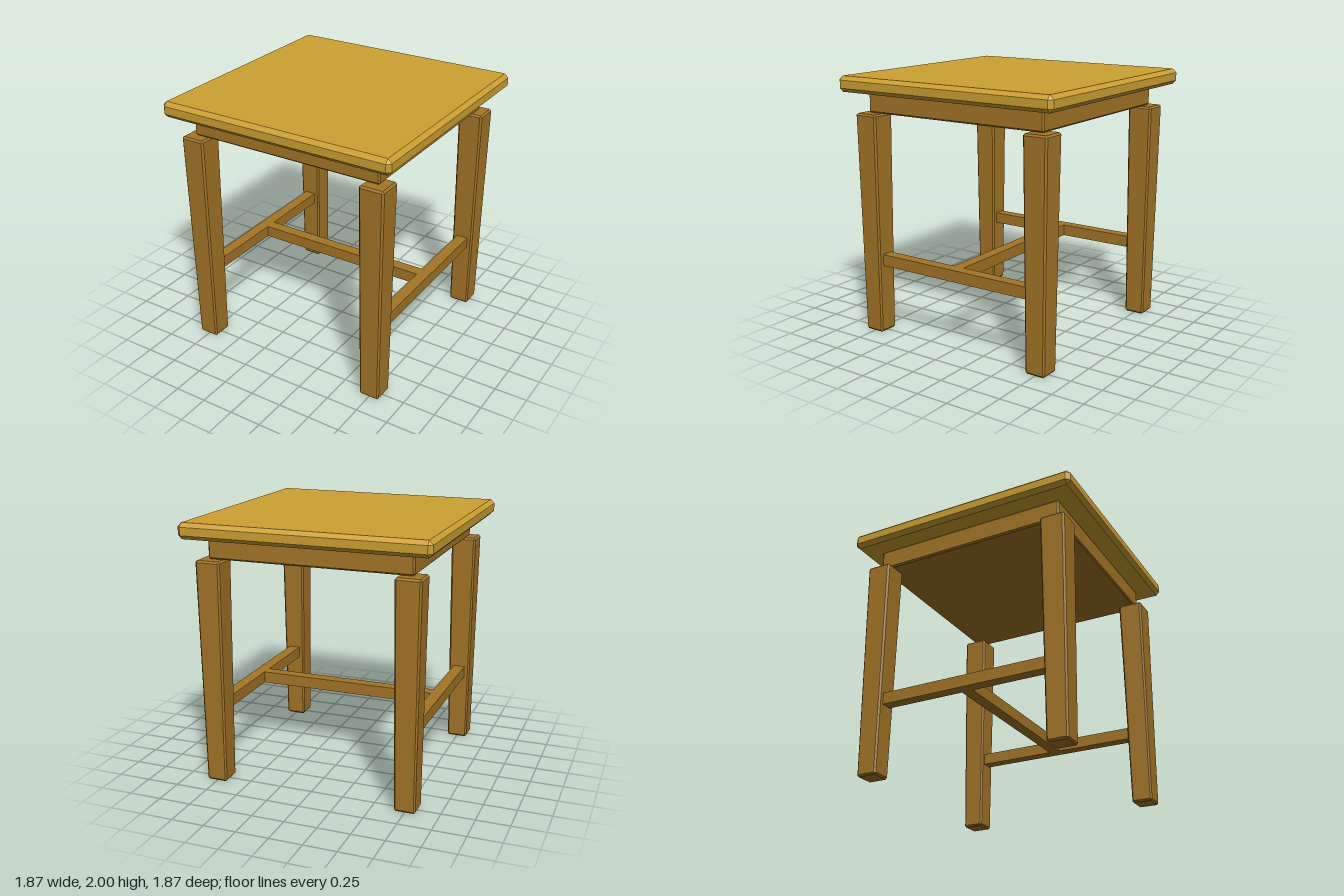
import * as THREE from 'three';
import { ConvexGeometry } from 'three/addons/geometries/ConvexGeometry.js';

// Box with every edge cut by a single chamfer; taper is bottom width / top width.
function chamferedBox(w, h, d, c, taper = 1) {
  const points = [];
  for (const keep of [0, 1, 2]) {
    const [x, y, z] = [w / 2, h / 2, d / 2].map((v, axis) => (axis === keep ? v : v - c));
    for (const sx of [-1, 1]) for (const sy of [-1, 1]) for (const sz of [-1, 1]) {
      const s = THREE.MathUtils.lerp(taper, 1, (sy * y) / h + 0.5);
      points.push(new THREE.Vector3(sx * x * s, sy * y, sz * z * s));
    }
  }
  return new ConvexGeometry(points);
}

export function createModel() {
  const group = new THREE.Group();
  group.name = 'stool';
  const lightWood = new THREE.MeshStandardMaterial({ color: 0xcda032 });
  lightWood.name = 'light wood';
  const darkWood = new THREE.MeshStandardMaterial({ color: 0xa37526 });
  darkWood.name = 'dark wood';

  const add = (name, geometry, material, x, y, z) => {
    const mesh = new THREE.Mesh(geometry, material);
    mesh.name = name;
    mesh.position.set(x, y, z);
    group.add(mesh);
  };

  // Seat slab and the solid apron block under it
  add('seat', chamferedBox(1.87, 0.12, 1.87, 0.03), lightWood, 0, 1.94, 0);
  add('apron', chamferedBox(1.548, 0.16, 1.548, 0.012), darkWood, 0, 1.8, 0);

  // Four legs, narrowing towards the floor
  const legGeometry = chamferedBox(0.194, 1.718, 0.194, 0.014, 0.82);
  for (const [side, sx] of [['Left', 1], ['Right', -1]]) {
    for (const [end, sz] of [['front', 1], ['back', -1]]) {
      add(`${end}${side}Leg`, legGeometry, darkWood, sx * 0.75, 0.859, sz * 0.75);
    }
  }

  // H-shaped stretcher: two side rails and a cross rail
  const railY = 0.586, rail = 0.09;
  for (const [side, sx] of [['left', 1], ['right', -1]]) {
    add(`${side}Rail`, new THREE.BoxGeometry(rail, rail, 1.4), darkWood, sx * 0.75, railY, 0);
  }
  add('crossRail', new THREE.BoxGeometry(1.5 - rail, rail, rail), darkWood, 0, railY, 0);

  return group;
}
